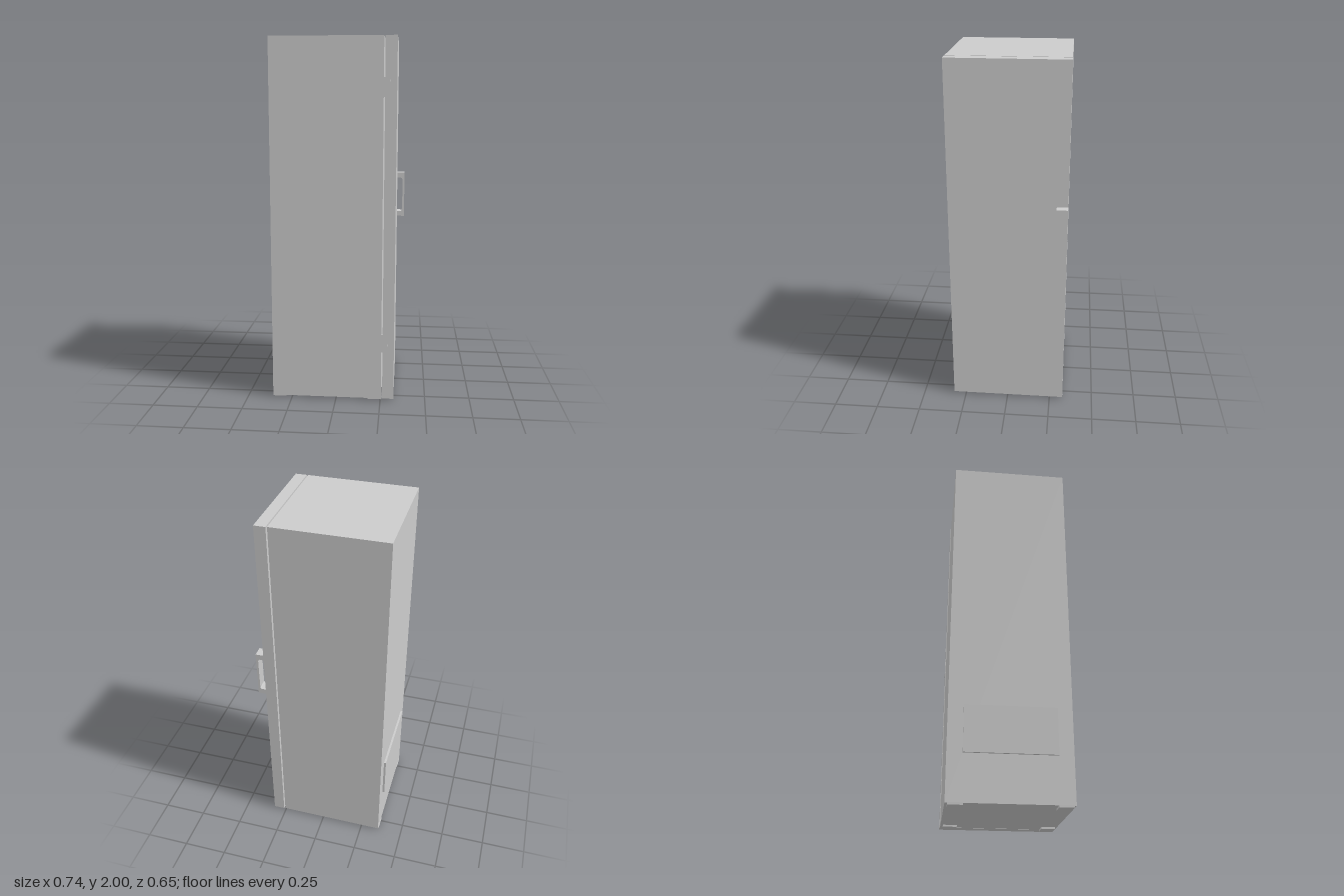
import * as THREE from 'three';

const material = new THREE.MeshStandardMaterial({ color: 0xcccccc });

export function createModel() {
  const model = new THREE.Group();
  model.name = 'refrigerator';

  const add = (name, geometry) => {
    const mesh = new THREE.Mesh(geometry, material);
    mesh.name = name;
    model.add(mesh);
    return mesh;
  };

  // Box given by its extents along each axis
  const box = (name, [x0, x1], [y0, y1], [z0, z1]) =>
    add(name, new THREE.BoxGeometry(x1 - x0, y1 - y0, z1 - z0))
      .position.set((x0 + x1) / 2, (y0 + y1) / 2, (z0 + z1) / 2);

  // Cabinet, and the door standing a hair in front of it
  box('cabinet', [-0.358, 0.254], [0.01, 2], [-0.324, 0.321]);
  box('door', [0.261, 0.324], [0.01, 2], [-0.327, 0.321]);

  // Rear service panel
  box('rearPanel', [-0.37, -0.358], [0.26, 0.51], [-0.243, 0.241]);

  // Hinge plates bridging the gap on the hinge side
  for (const y of [0.335, 1.735]) {
    box('hinge', [0.252, 0.287], [y - 0.052, y + 0.052], [0.315, 0.326]);
  }

  // Four low square feet
  for (const x of [-0.322, 0.218]) {
    for (const z of [-0.273, 0.272]) {
      box('foot', [x - 0.038, x + 0.038], [0, 0.012], [z - 0.038, z + 0.038]);
    }
  }

  // Bracket handle: a C-shaped side profile with chamfered inner corners
  const profile = new THREE.Shape([
    [0.322, 0.955], [0.368, 0.955], [0.368, 1.224], [0.322, 1.224],
    [0.322, 1.192], [0.351, 1.192], [0.356, 1.182],
    [0.356, 0.996], [0.351, 0.986], [0.322, 0.986],
  ].map(([x, y]) => new THREE.Vector2(x, y)));
  add('handle', new THREE.ExtrudeGeometry(profile, { depth: 0.061, bevelEnabled: false }))
    .position.z = -0.327;

  return model;
}
